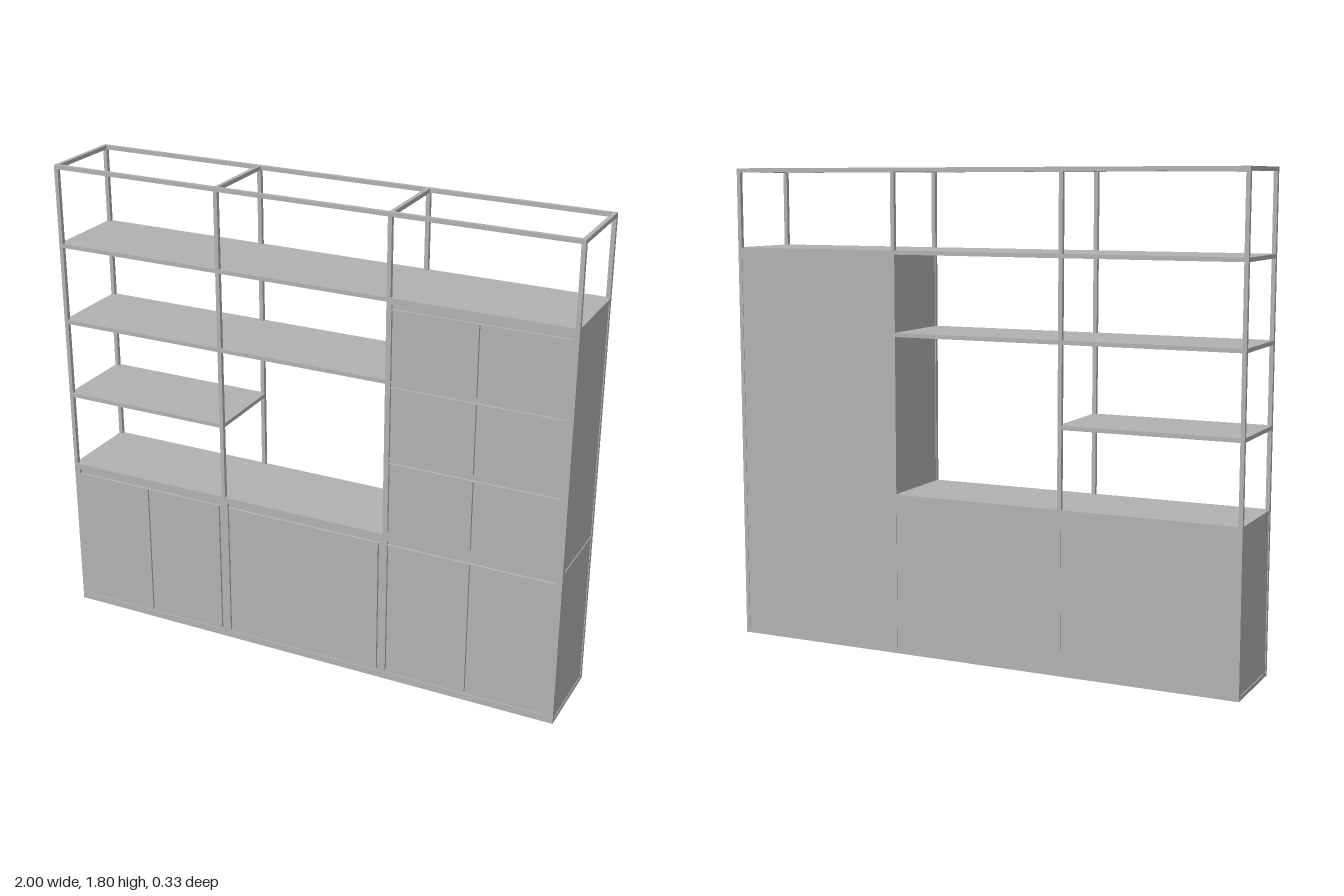
import * as THREE from 'three';

export function createModel() {
  const group = new THREE.Group();
  const grey = new THREE.MeshStandardMaterial({ color: 0xb2b2b2 });
  grey.name = 'grey';

  const T = 0.015;                        // frame tube thickness
  const H = 1.8, D = 0.334;
  const ZF = D / 2, ZP = ZF - T / 2;      // outer face and post centre in z
  const POSTS = [-0.9925, -0.331, 0.331, 0.9925];
  const BOTTOM = T / 2, BASE = 0.598, TOP = H - T / 2;

  // Box given by its two extreme corners
  const box = (name, x0, x1, y0, y1, z0, z1) => {
    const mesh = new THREE.Mesh(new THREE.BoxGeometry(x1 - x0, y1 - y0, z1 - z0), grey);
    mesh.name = name;
    mesh.position.set((x0 + x1) / 2, (y0 + y1) / 2, (z0 + z1) / 2);
    group.add(mesh);
  };

  // Upright posts
  for (const x of POSTS)
    for (const z of [-ZP, ZP])
      box('post', x - T / 2, x + T / 2, 0, H, z - T / 2, z + T / 2);

  // Horizontal frame levels: y, first bay, end bay, filled with a shelf or not
  const levels = [
    [BOTTOM, 0, 3, false],
    [BASE, 0, 3, true],
    [0.898, 0, 1, true],
    [1.197, 0, 2, true],
    [1.496, 0, 3, true],
    [TOP, 0, 3, false],
  ];
  for (const [y, a, b, filled] of levels) {
    for (let i = a; i <= b; i++)
      box('crossRail', POSTS[i] - T / 2, POSTS[i] + T / 2, y - T / 2, y + T / 2, -ZP + T / 2, ZP - T / 2);
    for (let i = a; i < b; i++) {
      const x0 = POSTS[i] + T / 2, x1 = POSTS[i + 1] - T / 2;
      for (const z of [-ZP, ZP])
        box('longRail', x0, x1, y - T / 2, y + T / 2, z - T / 2, z + T / 2);
      if (filled)
        box('shelf', x0, x1, y - T / 2 + 0.004, y + T / 2, -ZP + T / 2, ZP - T / 2);
    }
  }

  const rectangle = (Type, x0, x1, y0, y1) => new Type([
    new THREE.Vector2(x0, y0), new THREE.Vector2(x1, y0),
    new THREE.Vector2(x1, y1), new THREE.Vector2(x0, y1),
  ]);

  // Cabinet: solid body, recessed side panels and a front plate with grooves
  const FRONT = 0.01;
  const cabinet = (name, bay, y0, y1, grooves) => {
    const xa = POSTS[bay], xb = POSTS[bay + 1];
    const x0 = xa + T / 2, x1 = xb - T / 2;
    box(name + 'Body', x0, x1, y0, y1, -ZF + 0.002, ZF - FRONT);
    box(name + 'SidePanel', xa - T / 2 + 0.003, x0, y0, y1, -ZP + T / 2, ZP - T / 2);
    box(name + 'SidePanel', x1, xb + T / 2 - 0.003, y0, y1, -ZP + T / 2, ZP - T / 2);

    const shape = rectangle(THREE.Shape, x0, x1, y0, y1);
    for (const g of grooves) shape.holes.push(rectangle(THREE.Path, ...g));
    const plate = new THREE.Mesh(
      new THREE.ExtrudeGeometry(shape, { depth: FRONT, bevelEnabled: false }), grey);
    plate.name = name + 'Doors';
    plate.position.z = ZF - FRONT;
    group.add(plate);
  };

  // Grooves of one door row: grip slot, door gaps and an optional bottom gap
  const doorRow = (x0, x1, gaps, y0, slot, bottomGap) => {
    const list = [[x0, x1, slot - 0.009, slot + 0.009]];
    for (const x of gaps)
      list.push([x - 0.0025, x + 0.0025, y0 + 0.004, slot - 0.011]);
    if (bottomGap) list.push([x0, x1, y0 - 0.002, y0 + 0.002]);
    return list;
  };

  const low = [T, BASE - T / 2];
  cabinet('leftCabinet', 0, ...low, doorRow(-0.978, -0.348, [-0.664, -0.35], 0.028, 0.574, true));
  cabinet('middleCabinet', 1, ...low, doorRow(-0.314, 0.312, [-0.311, 0.309], 0.028, 0.574, true));
  cabinet('rightCabinet', 2, ...low, doorRow(0.342, 0.975, [0.345, 0.661], 0.028, 0.574, true));

  // Tall cabinet with three rows of doors
  const rows = [[0.614, 0.898], [0.906, 1.187], [1.195, 1.472]];
  cabinet('upperCabinet', 2, BASE + T / 2, 1.496 - T / 2,
    rows.flatMap(([y0, slot]) => doorRow(0.342, 0.975, [0.345, 0.661], y0, slot, false)));

  return group;
}
